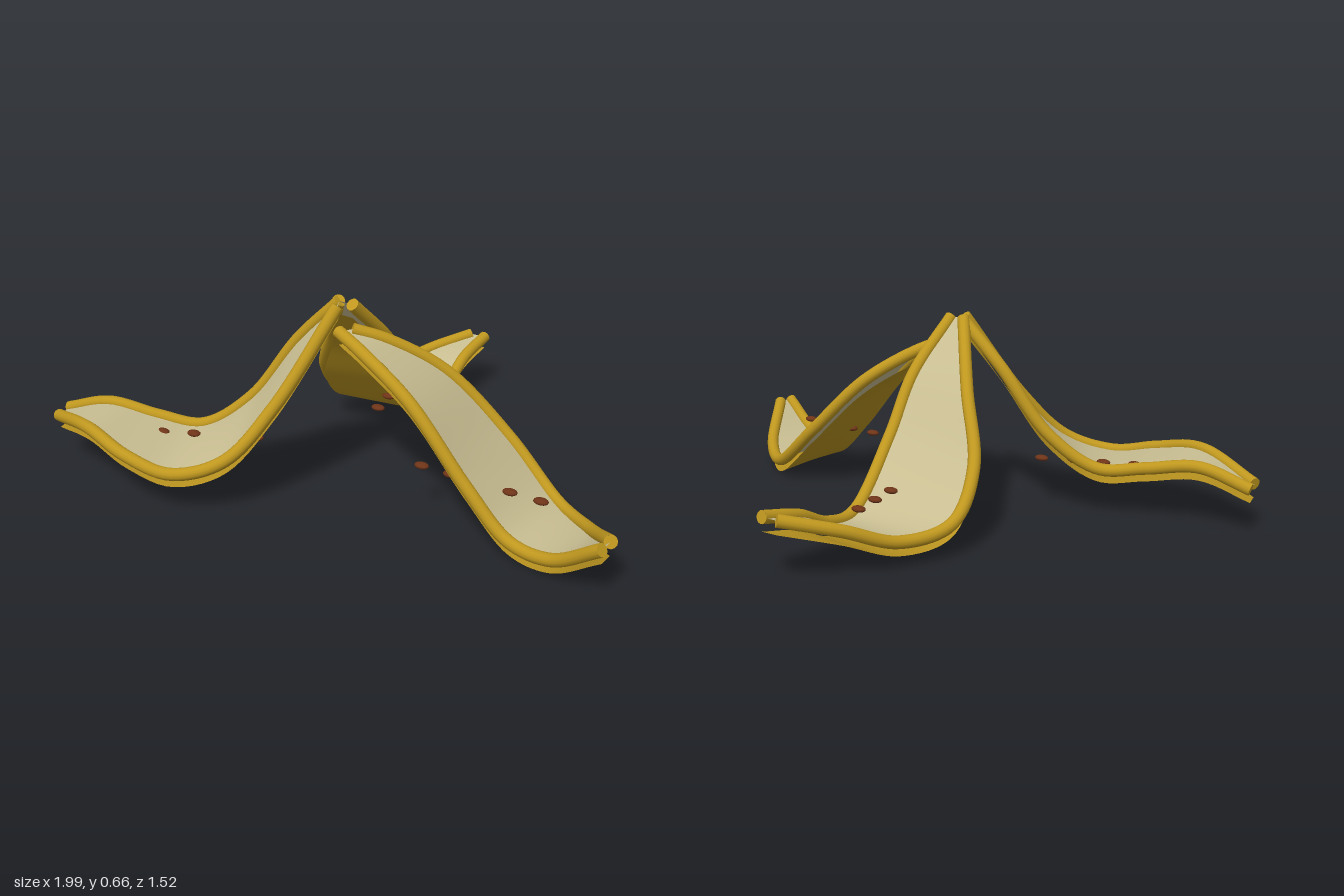
import * as THREE from 'three';

function flat(name, color, side = THREE.FrontSide) {
  const m = new THREE.MeshStandardMaterial({ color, side });
  m.name = name;
  return m;
}
const gold = flat('gold', 0xb8921f, THREE.DoubleSide);
const brightGold = flat('brightGold', 0xc0981f);
const cream = flat('cream', 0xc9be92, THREE.DoubleSide);
const brown = flat('brown', 0x6e3418);

const HUB = [-0.02, 0.25];
const RIM = 0.021, DROP = 0.045, ROWS = 48, COLS = 12;

// dir: ground direction of the petal; edges: the two rims from hub to tip, [x, y, z]
const PETALS = [
  {
    name: 'leftPetal', dir: [1, 0],
    edges: [
      [[0.01, 0.56, 0.245], [0.1, 0.52, 0.175], [0.25, 0.41, 0.065], [0.45, 0.205, 0], [0.65, 0.052, 0.04], [0.82, 0.063, 0.16], [0.98, 0.165, 0.36]],
      [[-0.015, 0.56, 0.285], [0.12, 0.522, 0.33], [0.3, 0.417, 0.355], [0.5, 0.195, 0.355], [0.65, 0.06, 0.358], [0.8, 0.057, 0.38], [0.98, 0.165, 0.415]],
    ],
  },
  {
    name: 'rightPetal', dir: [-0.9, 0.44],
    edges: [
      [[-0.02, 0.64, 0.28], [-0.13, 0.34, 0.48], [-0.225, 0.185, 0.615], [-0.37, 0.137, 0.705], [-0.53, 0.17, 0.735], [-0.715, 0.205, 0.705], [-0.97, 0.15, 0.605]],
      [[-0.045, 0.64, 0.235], [-0.2, 0.485, 0.255], [-0.35, 0.27, 0.318], [-0.5, 0.16, 0.395], [-0.65, 0.175, 0.455], [-0.82, 0.2, 0.505], [-0.99, 0.15, 0.54]],
    ],
  },
  {
    name: 'backPetal', dir: [-0.235, -0.97],
    edges: [
      [[-0.05, 0.64, 0.235], [-0.21, 0.445, 0.055], [-0.353, 0.24, -0.09], [-0.39, 0.105, -0.24], [-0.34, 0.083, -0.43], [-0.26, 0.145, -0.6], [-0.145, 0.19, -0.75]],
      [[0.007, 0.64, 0.24], [0.025, 0.465, 0.06], [0.005, 0.285, -0.08], [-0.05, 0.09, -0.32], [-0.075, 0.098, -0.47], [-0.087, 0.155, -0.6], [-0.088, 0.19, -0.755]],
    ],
  },
];

function mesh(name, geometry, material) {
  const m = new THREE.Mesh(geometry, material);
  m.name = name;
  return m;
}

// Smooth grid over rows of points, facing up or down
function sheet(rows, drop, up) {
  const pos = [], index = [], n = rows[0].length;
  rows.forEach((row) => row.forEach((p) => pos.push(p.x, p.y - drop, p.z)));
  for (let i = 0; i < rows.length - 1; i++) {
    for (let j = 0; j < n - 1; j++) {
      const a = i * n + j, b = a + 1, c = a + n, d = c + 1;
      if (up) index.push(a, b, c, b, d, c);
      else index.push(a, c, b, b, c, d);
    }
  }
  const g = new THREE.BufferGeometry();
  g.setAttribute('position', new THREE.Float32BufferAttribute(pos, 3));
  g.setIndex(index);
  g.computeVertexNormals();
  return g;
}

function makePetal({ name, dir, edges }) {
  const petal = new THREE.Group();
  petal.name = name;
  const curves = edges.map((pts) =>
    new THREE.CatmullRomCurve3(pts.map((p) => new THREE.Vector3(...p))));

  // Upper and lower skins stretched between the two rims
  const [first, second] = curves.map((c) => c.getSpacedPoints(ROWS));
  const rows = first.map((a, i) => Array.from({ length: COLS + 1 },
    (_, j) => a.clone().lerp(second[i], j / COLS)));
  petal.add(mesh('upperSkin', sheet(rows, 0, true), cream));
  petal.add(mesh('lowerSkin', sheet(rows, DROP, false), gold));

  // Rounded rims with flat ends
  for (const curve of curves) {
    petal.add(mesh('rim', new THREE.TubeGeometry(curve, 64, RIM, 12), brightGold));
    for (const t of [0, 1]) {
      const cap = mesh('rimEnd', new THREE.CircleGeometry(RIM, 12), brightGold);
      const end = curve.getPoint(t);
      cap.position.copy(end);
      cap.lookAt(end.clone().addScaledVector(curve.getTangent(t), t ? 1 : -1));
      petal.add(cap);
    }
  }

  // Row of flattened oval spots at one level
  for (let i = 0; i < 5; i++) {
    const r = 0.295 + i * 0.106;
    const spot = mesh('spot', new THREE.SphereGeometry(1, 16, 10), brown);
    spot.scale.set(0.025, 0.01, 0.018);
    spot.position.set(HUB[0] + dir[0] * r, 0.16, HUB[1] + dir[1] * r);
    petal.add(spot);
  }
  return petal;
}

export function createModel() {
  const model = new THREE.Group();
  model.name = 'threePetals';
  PETALS.forEach((p) => model.add(makePetal(p)));
  return model;
}
